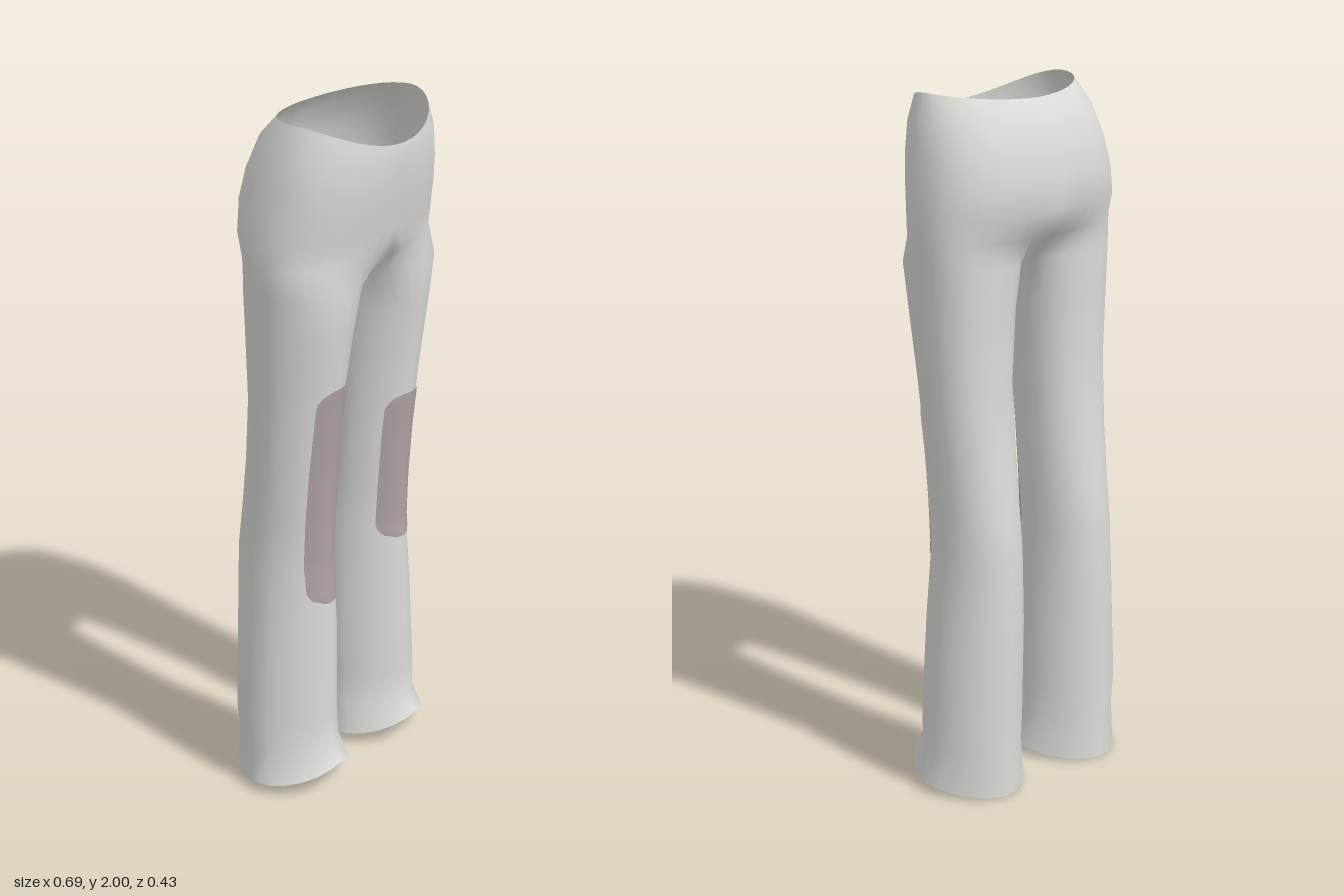
import * as THREE from 'three';
import { mergeVertices } from 'three/addons/utils/BufferGeometryUtils.js';

const ARC = 20, LOOP = 24; // outer arc steps shared by hip and leg; full leg loop
const pow = (v, e) => Math.sign(v) * Math.abs(v) ** e;
const lerp = THREE.MathUtils.lerp;

// Hip sections: y at front, side, back; half width; front z; back z;
// z of the widest point; roundness of front and back (1 = ellipse, less = squarer)
const HIPS = [
  [1.925, 2.0, 1.98, 0.257, 0.213, -0.126, 0.045, 1.0, 1.06],
  [1.88, 1.93, 1.93, 0.285, 0.217, -0.168, 0.03, 0.94, 0.92],
  [1.81, 1.84, 1.85, 0.303, 0.21, -0.197, 0.015, 0.9, 0.84],
  [1.75, 1.76, 1.76, 0.315, 0.202, -0.213, 0, 0.9, 0.82],
  [1.68, 1.68, 1.68, 0.324, 0.188, -0.205, -0.01, 0.9, 0.8],
  [1.61, 1.61, 1.61, 0.327, 0.176, -0.178, -0.01, 0.9, 0.8],
];
// Leg sections: y, inner x, outer x, front z, back z, roundness of front and back
const LEG = [
  [1.53, 0.012, 0.323, 0.163, -0.154, 0.95, 0.86],
  [1.4, 0.035, 0.316, 0.15, -0.15, 1.05, 0.87],
  [1.2, 0.05, 0.305, 0.123, -0.147, 1.1, 0.89],
  [1.0, 0.055, 0.295, 0.104, -0.166, 1.12, 0.92],
  [0.85, 0.058, 0.29, 0.095, -0.186, 1.12, 0.94],
  [0.72, 0.061, 0.288, 0.092, -0.205, 1.12, 0.96],
  [0.5, 0.047, 0.308, 0.104, -0.206, 1.15, 1.0],
  [0.22, 0.044, 0.33, 0.109, -0.205, 1.18, 1.05],
  [0.13, 0.045, 0.325, 0.113, -0.203, 1.18, 1.08],
  [0.03, 0.025, 0.346, 0.144, -0.208, 1.15, 1.15],
];
// Crotch seam points, back to front
const SEAM = [[0, 1.56, -0.09], [0, 1.545, 0], [0, 1.56, 0.09]];

function hipPoint([yf, ys, yb, w, f, b, zc, ef, eb], j) {
  const t = (j / ARC) * Math.PI, s = Math.sin(t), c = Math.cos(t), e = c > 0 ? ef : eb;
  return [w * pow(s, e), lerp(ys, c > 0 ? yf : yb, c * c),
    zc + Math.abs(c) ** e * ((c > 0 ? f : b) - zc)];
}

function legPoint([y, xi, xo, f, b, ef, eb], j, hem) {
  const t = -Math.PI / 3 + (j / LOOP) * 2 * Math.PI, s = Math.sin(t), c = Math.cos(t);
  const e = c > 0 ? ef : eb, u = pow(s, e);
  // The hem peaks over the foot and drops at the heel
  const lift = hem ? (c > 0 ? 0.06 * (1 - Math.abs(u)) : 0.03 * c) : 0;
  return [(xi + xo) / 2 + u * (xo - xi) / 2, y + lift,
    (f + b) / 2 + pow(c, e) * (f - b) / 2];
}

// Both halves of the fabric, welded along the centre seam
function trouserGeometry() {
  const rings = HIPS.map(r => Array.from({ length: ARC + 1 }, (_, j) => hipPoint(r, j)));
  rings[rings.length - 1].push(...SEAM);
  LEG.forEach((r, i) => rings.push(
    Array.from({ length: LOOP }, (_, j) => legPoint(r, j, i === LEG.length - 1))));
  const pos = [], index = [];
  for (const side of [1, -1]) {
    const starts = rings.map(ring => {
      const start = pos.length / 3;
      for (const [x, y, z] of ring) pos.push(side * x, y, z);
      return start;
    });
    for (let i = 0; i < rings.length - 1; i++) {
      const closed = i >= HIPS.length - 1, n = closed ? LOOP : ARC;
      for (let j = 0; j < n; j++) {
        const k = closed ? (j + 1) % LOOP : j + 1;
        const a = starts[i] + j, b = starts[i] + k, c = starts[i + 1] + k, d = starts[i + 1] + j;
        if (side > 0) index.push(a, d, c, a, c, b);
        else index.push(a, c, d, a, b, c);
      }
    }
  }
  const g = new THREE.BufferGeometry();
  g.setAttribute('position', new THREE.Float32BufferAttribute(pos, 3));
  g.setIndex(index);
  const welded = mergeVertices(g, 1e-4);
  welded.computeVertexNormals();
  return welded;
}

// Depth of the leg's front surface at a point of the front plane
function legFrontZ(x, y) {
  const i = LEG.findIndex((r, n) => y <= r[0] && y >= LEG[n + 1][0]);
  const k = (LEG[i][0] - y) / (LEG[i][0] - LEG[i + 1][0]);
  const [, xi, xo, f, b, e] = LEG[i].map((v, n) => lerp(v, LEG[i + 1][n], k));
  const u = Math.min(1, Math.abs((x - (xi + xo) / 2) / ((xo - xi) / 2)));
  const c = Math.sqrt(1 - u ** (2 / e));
  return (f + b) / 2 + c ** e * (f - b) / 2;
}

// Rounded knee patch draped over the leg
function patchGeometry(side, x0, x1, y0, y1, offset) {
  const g = new THREE.PlaneGeometry(1, 1, 14, 40), p = g.attributes.position, r = 0.05;
  for (let i = 0; i < p.count; i++) {
    const y = lerp(y0, y1, p.getY(i) + 0.5);
    const e = Math.max(0, r - Math.min(y - y0, y1 - y));
    const half = (x1 - x0) / 2 - r + Math.sqrt(Math.max(0, r * r - e * e));
    const x = (x0 + x1) / 2 + p.getX(i) * 2 * half;
    p.setXYZ(i, x, y, legFrontZ(side * x, y) + offset);
  }
  g.computeVertexNormals();
  return g;
}

export function createModel() {
  const fabric = new THREE.MeshStandardMaterial({ color: 0xdadad7, side: THREE.DoubleSide });
  fabric.name = 'pale grey fabric';
  const patch = new THREE.MeshStandardMaterial({ color: 0xafa3a3, side: THREE.DoubleSide });
  patch.name = 'worn knee brown';

  const group = new THREE.Group();
  group.name = 'trousers';
  const add = (name, geometry, material) => {
    const mesh = new THREE.Mesh(geometry, material);
    mesh.name = name;
    mesh.position.x = -0.008;
    group.add(mesh);
  };
  add('trouserFabric', trouserGeometry(), fabric);

  // Knee patches show on the outside and the inside of the cloth
  for (const [face, offset] of [['Outer', 0.004], ['Inner', -0.005]]) {
    add('rightKneePatch' + face, patchGeometry(-1, -0.243, -0.084, 0.595, 1.257, offset), patch);
    add('leftKneePatch' + face, patchGeometry(1, 0.101, 0.262, 0.67, 1.13, offset), patch);
  }
  return group;
}
